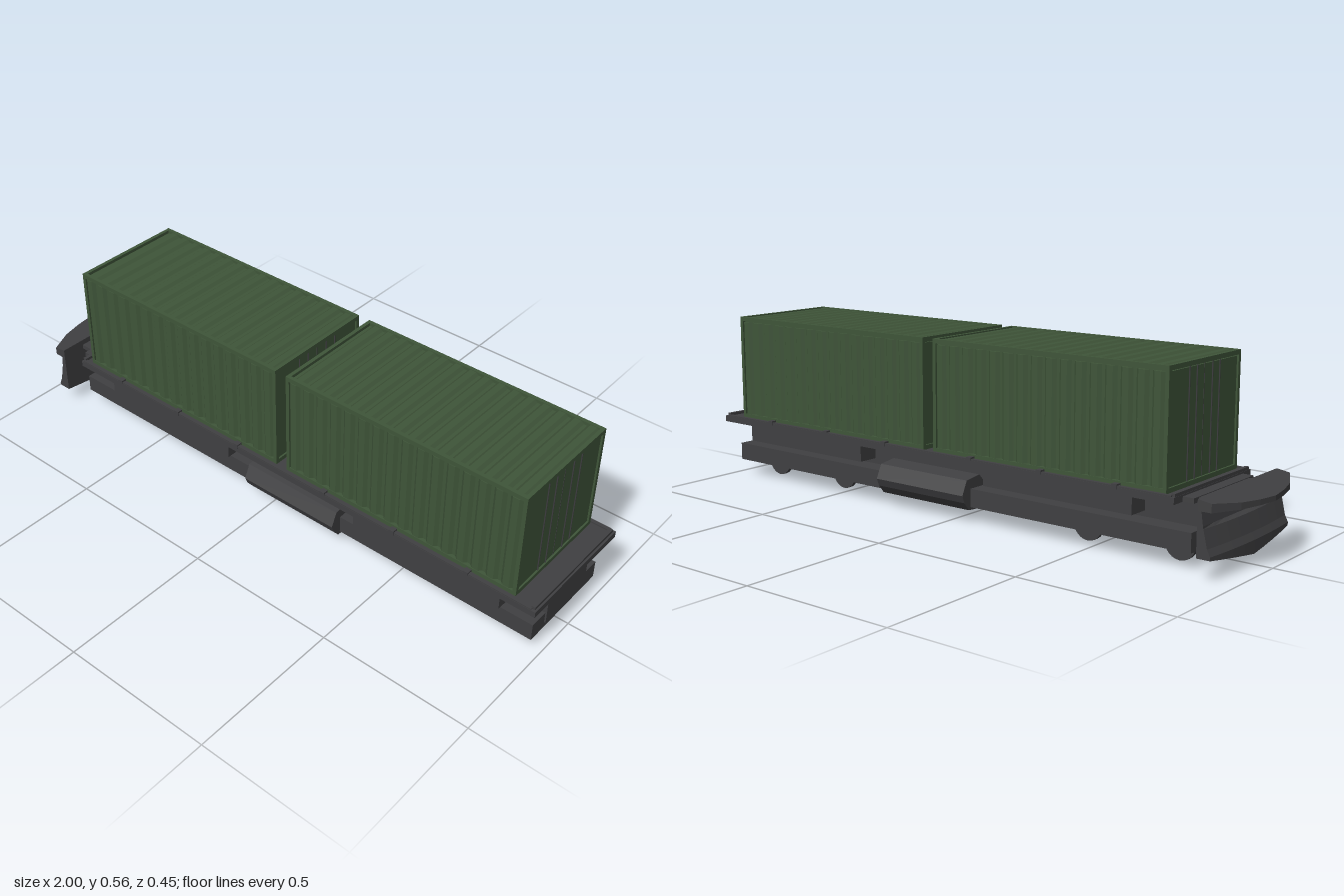
import * as THREE from 'three';

export function createModel() {
  const root = new THREE.Group();
  const green = new THREE.MeshStandardMaterial({ color: 0x3f5539 });
  green.name = 'container green';
  const grey = new THREE.MeshStandardMaterial({ color: 0x404042 });
  grey.name = 'chassis grey';

  const add = (parent, name, geo, mat) => {
    const m = new THREE.Mesh(geo, mat);
    m.name = name;
    parent.add(m);
    return m;
  };
  // box given by its min and max on each axis
  const box = (parent, name, mat, x0, x1, y0, y1, z0, z1) => {
    const m = add(parent, name, new THREE.BoxGeometry(x1 - x0, y1 - y0, z1 - z0), mat);
    m.position.set((x0 + x1) / 2, (y0 + y1) / 2, (z0 + z1) / 2);
    return m;
  };
  const extrude = (pts, depth, steps = 1) => new THREE.ExtrudeGeometry(
    new THREE.Shape(pts.map(p => new THREE.Vector2(p[0], p[1]))),
    { depth, steps, bevelEnabled: false });

  // trapezoid corrugation running from -half to +half
  const corrugation = (half, out, depth, count) => {
    const pts = [], pitch = 2 * half / count;
    for (let i = 0; i < count; i++) {
      const x = -half + i * pitch;
      pts.push([x, out - depth], [x + pitch * 0.2, out - depth],
        [x + pitch * 0.4, out], [x + pitch * 0.8, out]);
    }
    pts.push([half, out - depth]);
    return pts;
  };

  // Containers
  const L = 0.415, W = 0.195, Y0 = 0.208, Y1 = 0.56, t = 0.012;
  function container(cx) {
    const g = new THREE.Group();
    g.name = 'container';
    g.position.x = cx;
    const side = corrugation(L - 0.006, W - 0.002, 0.009, 16);
    const walls = extrude([...side, ...side.map(p => [-p[0], -p[1]])], Y1 - Y0 - 0.022);
    walls.rotateX(-Math.PI / 2);
    walls.translate(0, Y0 + 0.004, 0);
    add(g, 'corrugatedWalls', walls, green);
    const top = corrugation(L - t, Y1 - 0.002, 0.008, 16);
    const roof = extrude([...top, [L - t, Y1 - 0.03], [-L + t, Y1 - 0.03]], 2 * (W - t));
    roof.translate(0, 0, -(W - t));
    add(g, 'corrugatedRoof', roof, green);
    // corner posts and edge beams
    for (const s of [-1, 1]) {
      for (const e of [-1, 1]) {
        const x = e * (L - t / 2), z = s * (W - t / 2);
        box(g, 'cornerPost', green, x - t / 2, x + t / 2, Y0, Y1, z - t / 2, z + t / 2);
      }
      const z = s * (W - t / 2), x = s * (L - t / 2);
      for (const [a, b] of [[Y0, Y0 + 0.016], [Y1 - 0.014, Y1]]) {
        box(g, 'sideBeam', green, -L + t, L - t, a, b, z - t / 2, z + t / 2);
        box(g, 'endBeam', green, x - t / 2, x + t / 2, a, b, -W + t, W - t);
      }
      // door lock rods
      for (const rz of [-0.082, -0.042, 0.042, 0.082]) {
        const rod = add(g, 'lockRod', new THREE.CylinderGeometry(0.002, 0.002, Y1 - Y0 - 0.03, 6), grey);
        rod.position.set(s * (L - 0.004), (Y0 + Y1) / 2, rz);
      }
      // door seam
      box(g, 'doorSeam', grey, s * (L - 0.006) - 0.001, s * (L - 0.006) + 0.001, Y0 + 0.016, Y1 - 0.014, -0.001, 0.001);
    }
    root.add(g);
  }
  container(-0.36);
  container(0.51);

  // Chassis
  box(root, 'deck', grey, -0.81, 1.0, 0.19, 0.21, -0.213, 0.213);
  box(root, 'centreBeam', grey, -0.89, 0.98, 0.07, 0.192, -0.103, 0.103);
  box(root, 'lowerFrame', grey, -0.84, 0.975, 0.05, 0.108, -0.167, 0.167);
  box(root, 'deckStep', grey, -0.845, -0.8, 0.19, 0.205, -0.167, 0.167);
  box(root, 'deckNeck', grey, -0.9, -0.8, 0.188, 0.203, -0.14, 0.14);
  for (const x of [-0.803, 0.988]) {
    box(root, 'deckEndRail', grey, x - 0.006, x + 0.006, 0.205, 0.219, -0.205, 0.205);
  }
  for (const s of [-1, 1]) {
    for (const [a, b] of [[-0.67, -0.145], [0.36, 0.88]]) {
      box(root, 'sideLocker', grey, a, b, 0.135, 0.192, s > 0 ? 0.132 : -0.2, s > 0 ? 0.2 : -0.132);
    }
    box(root, 'deckSideRail', grey, -0.8, 0.985, 0.208, 0.214, s * 0.206 - 0.006, s * 0.206 + 0.006);
    for (const x of [-0.62, -0.36, -0.1, 0.25, 0.51, 0.77]) {
      box(root, 'containerClamp', grey, x - 0.009, x + 0.009, 0.205, 0.219, s * 0.205 - 0.009, s * 0.205 + 0.009);
    }
    // faceted tank slung on each side
    const tank = extrude([[0.1, 0.05], [0.14, 0.04], [0.175, 0.042], [0.196, 0.068],
      [0.206, 0.092], [0.185, 0.137], [0.125, 0.145], [0.1, 0.118]], 0.355);
    tank.translate(0, 0, -0.1775);
    tank.rotateY(-s * Math.PI / 2);
    tank.translate(0.1075, 0, 0);
    add(root, 'sideTank', tank, grey);
    // wheels
    for (const x of [-0.765, -0.455, 0.54, 0.855]) {
      const wheel = add(root, 'wheel', new THREE.CylinderGeometry(0.05, 0.05, 0.014, 24), grey);
      wheel.rotation.x = Math.PI / 2;
      wheel.position.set(x, 0.05, s * 0.09);
    }
  }

  // Plough hood: plan outline with the top sloping down to the nose
  const plan = [[-0.888, -0.223], [-0.888, 0.223], [-0.93, 0.223], [-0.972, 0.14],
    [-0.99, 0.07], [-1, 0], [-0.99, -0.07], [-0.972, -0.14], [-0.93, -0.223]];
  const hood = extrude(plan, 0.02);
  hood.rotateX(-Math.PI / 2);
  const hp = hood.attributes.position;
  for (let i = 0; i < hp.count; i++) {
    const top = hp.getY(i) > 0.01, k = (hp.getX(i) + 1) / 0.112;
    hp.setY(i, top ? 0.205 + 0.017 * k : 0.19);
  }
  hood.computeVertexNormals();
  add(root, 'ploughHood', hood, grey);

  // Plough blade: curved back at the ends, with a lower point in the middle
  const blade = extrude([[-0.888, 0.03], [-0.888, 0.192], [-0.9, 0.192], [-0.906, 0.15],
    [-0.918, 0.142], [-0.932, 0.09], [-0.942, 0.07], [-0.942, 0.03]], 0.446, 8);
  blade.translate(0, 0, -0.223);
  const bp = blade.attributes.position;
  for (let i = 0; i < bp.count; i++) {
    const k = Math.abs(bp.getZ(i)) / 0.223, x = bp.getX(i);
    if (bp.getY(i) < 0.04) bp.setY(i, 0.03 + 0.03 * k);
    if (x < -0.91) bp.setX(i, x + 0.012 * k * k);
  }
  blade.computeVertexNormals();
  add(root, 'ploughBlade', blade, grey);

  return root;
}
